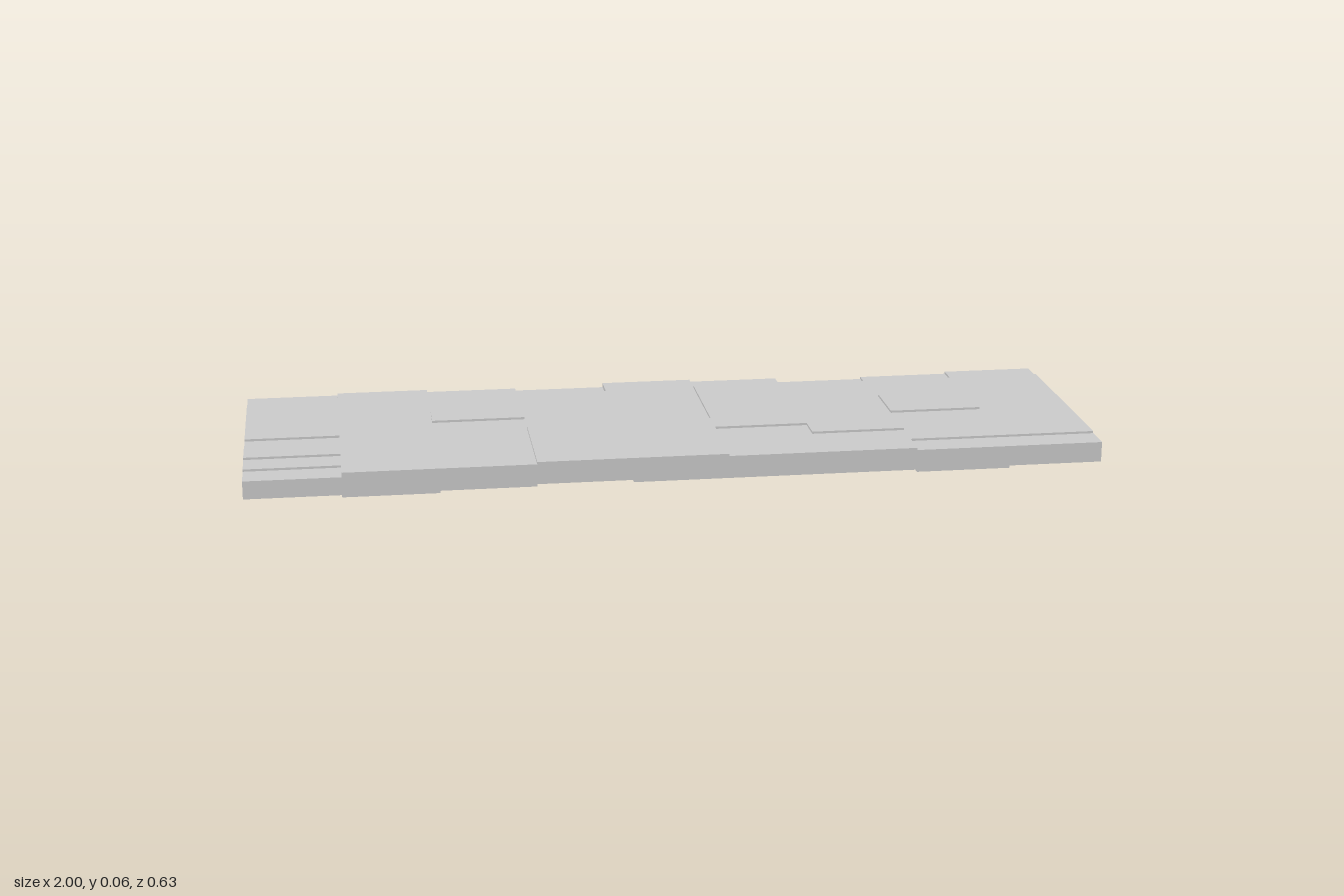
import * as THREE from 'three';

// Relief maps of the 9 x 9 tiles: rows run back to front, digits run from -x to +x.
const TOP = [
  '232132012', '333334333', '333334333', '334334343', '333334343',
  '233444333', '333443433', '233443333', '133443322',
];
const UNDER = [
  '100100210', '100000000', '000000000', '000000000', '000000000',
  '000000000', '000000000', '100111000', '101211101',
];
const N = 9, CELL_X = 2 / N, CELL_Z = 0.63 / N;
const topY = (r, c) => 0.043 + 0.0053 * Number(TOP[r][c]);
const underY = (r, c) => 0.0055 * Number(UNDER[r][c]);
const inside = (r, c) => r >= 0 && c >= 0 && r < N && c < N;

function makeMesh(name, positions, material) {
  const geometry = new THREE.BufferGeometry();
  geometry.setAttribute('position', new THREE.Float32BufferAttribute(positions, 3));
  geometry.computeVertexNormals();
  const mesh = new THREE.Mesh(geometry, material);
  mesh.name = name;
  return mesh;
}

export function createModel() {
  const group = new THREE.Group();
  group.name = 'wornSlab';
  const material = new THREE.MeshStandardMaterial({ color: 0xcccccc, flatShading: true });
  const upper = [], lower = [], rim = [];

  const quad = (out, a, b, c, d) => out.push(...a, ...b, ...c, ...a, ...c, ...d);
  // Upright wall from corner p to corner q, each given as [x, z]
  const wall = (out, p, q, lo, hi) => quad(out,
    [p[0], lo, p[1]], [q[0], lo, q[1]], [q[0], hi, q[1]], [p[0], hi, p[1]]);

  for (let r = 0; r < N; r++) {
    for (let c = 0; c < N; c++) {
      const x0 = -1 + c * CELL_X, x1 = x0 + CELL_X;
      const z0 = -0.315 + r * CELL_Z, z1 = z0 + CELL_Z;
      const t = topY(r, c), u = underY(r, c);

      // Tile faces above and below
      quad(upper, [x0, t, z0], [x0, t, z1], [x1, t, z1], [x1, t, z0]);
      quad(lower, [x0, u, z0], [x1, u, z0], [x1, u, z1], [x0, u, z1]);

      // Outer rim, or small steps down to a neighbouring tile
      const sides = [
        [r, c + 1, [x1, z1], [x1, z0]],
        [r, c - 1, [x0, z0], [x0, z1]],
        [r + 1, c, [x0, z1], [x1, z1]],
        [r - 1, c, [x1, z0], [x0, z0]],
      ];
      for (const [nr, nc, p, q] of sides) {
        if (!inside(nr, nc)) {
          wall(rim, p, q, u, t);
          continue;
        }
        if (topY(nr, nc) < t) wall(upper, p, q, topY(nr, nc), t);
        if (underY(nr, nc) > u) wall(lower, p, q, u, underY(nr, nc));
      }
    }
  }

  group.add(
    makeMesh('topRelief', upper, material),
    makeMesh('underside', lower, material),
    makeMesh('outerRim', rim, material),
  );
  return group;
}
